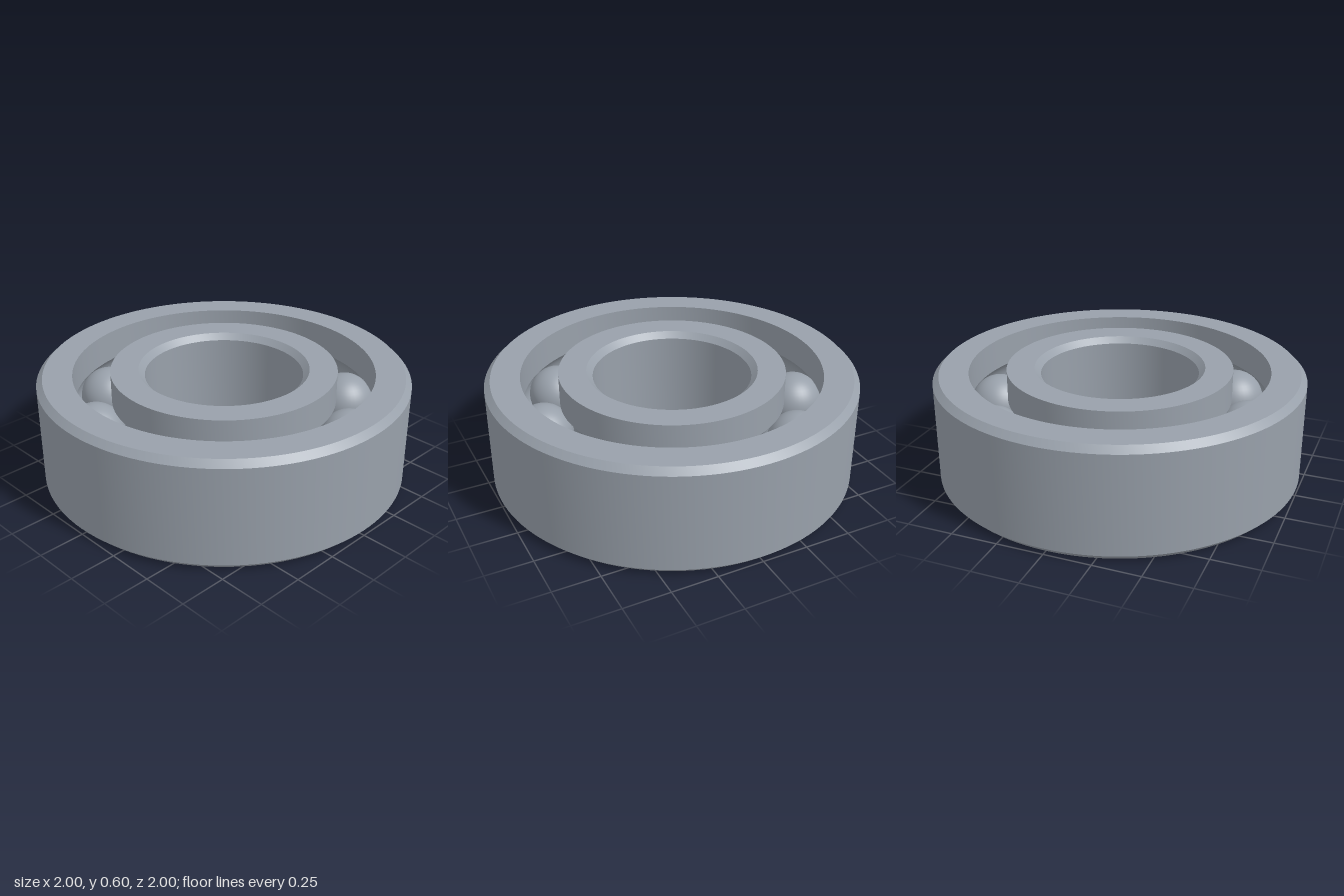
import * as THREE from 'three';
import { toCreasedNormals } from 'three/addons/utils/BufferGeometryUtils.js';

const HEIGHT = 0.6, MID = HEIGHT / 2;
const CHAMFER = 0.033;
const PITCH = 0.71;          // radius of the circle of ball centres
const BALL = 0.16, GROOVE = 0.163;
const BALLS = 10;

// Race groove: arc in the (radius, height) plane around the ball centre
function grooveArc(from, to, steps = 14) {
  return Array.from({ length: steps + 1 }, (_, i) => {
    const a = from + (to - from) * i / steps;
    return [PITCH + GROOVE * Math.cos(a), MID + GROOVE * Math.sin(a)];
  });
}

// Closed counterclockwise profile turned into a ring with crisp edges
function ring(name, profile, material) {
  const points = [...profile, profile[0]].map(([r, y]) => new THREE.Vector2(r, y));
  const geometry = toCreasedNormals(new THREE.LatheGeometry(points, 128), Math.PI / 7);
  const mesh = new THREE.Mesh(geometry, material);
  mesh.name = name;
  return mesh;
}

export function createModel() {
  const group = new THREE.Group();
  group.name = 'ballBearing';
  const steel = new THREE.MeshStandardMaterial({ color: 0x98a0aa });
  steel.name = 'steel';

  // Outer ring: chamfered outside, grooved inside
  const half = Math.acos(0.1 / GROOVE);
  group.add(ring('outerRing', [
    [0.81, 0], [1 - CHAMFER, 0], [1, CHAMFER],
    [1, HEIGHT - CHAMFER], [1 - CHAMFER, HEIGHT], [0.81, HEIGHT],
    ...grooveArc(half, -half),
  ], steel));

  // Inner ring: grooved outside, chamfered bore
  const bore = 0.427;
  group.add(ring('innerRing', [
    [bore + CHAMFER, 0], [0.61, 0],
    ...grooveArc(Math.PI + half, Math.PI - half),
    [0.61, HEIGHT], [bore + CHAMFER, HEIGHT],
    [bore, HEIGHT - CHAMFER], [bore, CHAMFER],
  ], steel));

  // Balls spaced evenly between the rings
  const balls = new THREE.Group();
  balls.name = 'balls';
  const ballGeometry = new THREE.SphereGeometry(BALL, 40, 24);
  for (let i = 0; i < BALLS; i++) {
    const a = THREE.MathUtils.degToRad(11.8) + i * 2 * Math.PI / BALLS;
    const ball = new THREE.Mesh(ballGeometry, steel);
    ball.name = `ball${i + 1}`;
    ball.position.set(PITCH * Math.cos(a), MID, PITCH * Math.sin(a));
    balls.add(ball);
  }
  group.add(balls);
  return group;
}
